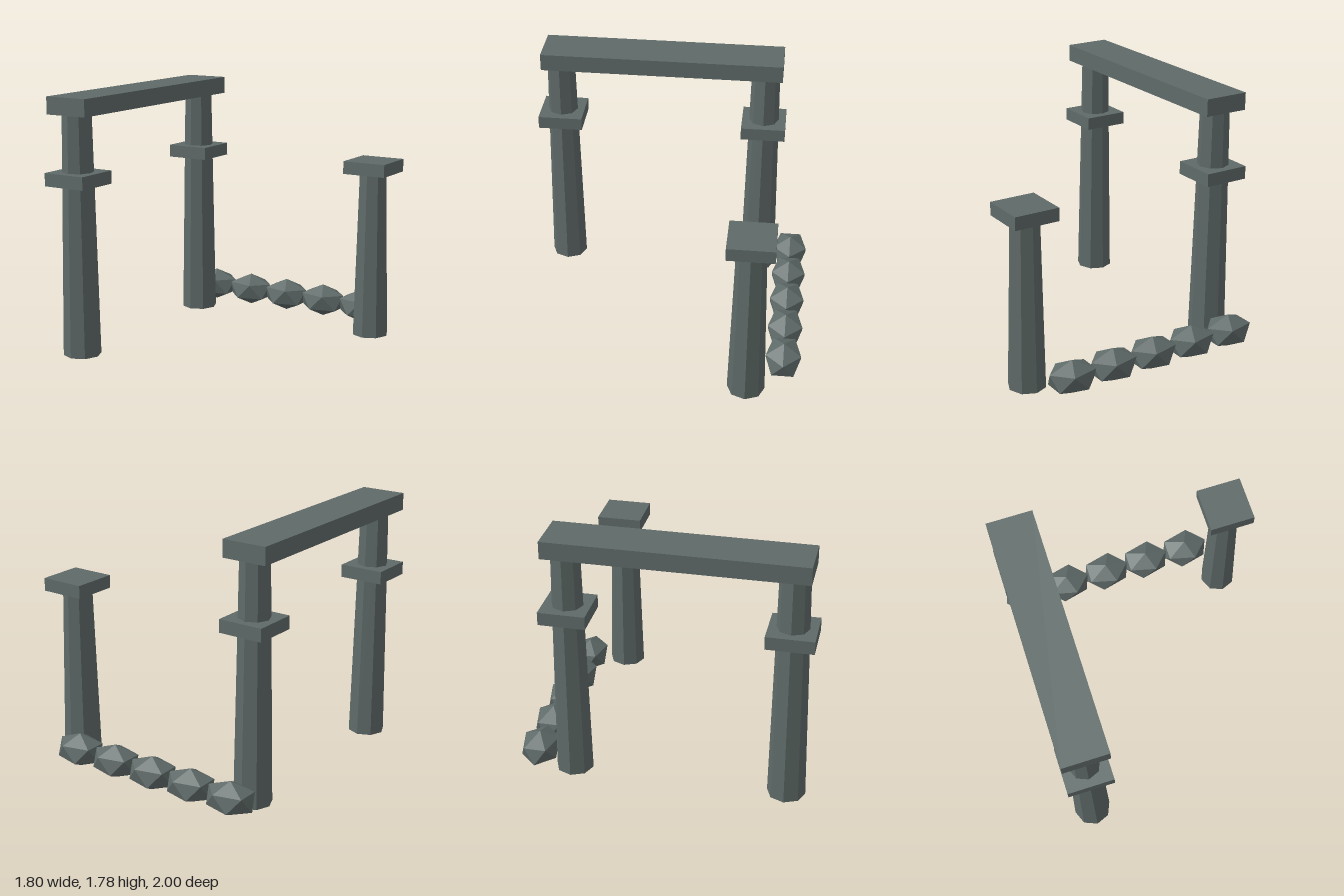
import * as THREE from 'three';

export function createModel() {
  const model = new THREE.Group();
  model.name = 'stoneRuin';
  const stone = new THREE.MeshStandardMaterial({ color: 0x5f6b69, flatShading: true });
  stone.name = 'grey stone';

  const add = (name, geometry, x, y, z) => {
    const mesh = new THREE.Mesh(geometry, stone);
    mesh.name = name;
    mesh.position.set(x, y, z);
    model.add(mesh);
  };

  const SIDE = 0.735, FRONT = 0.842, BACK = -0.632;

  // Tapered octagonal column with a square slab around or on top of it
  const column = (name, x, z, height) => {
    add(name + 'Shaft', new THREE.CylinderGeometry(0.1, 0.13, height, 8), x, height / 2, z);
    add(name + 'Slab', new THREE.BoxGeometry(0.316, 0.09, 0.316), x, 1.227, z);
  };
  column('frontColumn', -SIDE, FRONT, 1.66);
  column('backColumn', -SIDE, BACK, 1.66);
  column('shortColumn', SIDE + 0.005, BACK, 1.18);

  // Lintel across the two tall columns
  add('lintel', new THREE.BoxGeometry(0.316, 0.12, 1.715), -SIDE, 1.72, 0.103);

  // Row of stretched, faceted boulders behind the columns, each with one corner up
  const boulder = new THREE.IcosahedronGeometry(1, 0);
  boulder.rotateZ(-Math.atan(2 / (1 + Math.sqrt(5))));
  boulder.scale(0.19, 0.12, 0.144);
  for (let i = 0; i < 5; i++) add('boulder' + (i + 1), boulder, -0.729 + i * 0.318, 0.12, -0.878);

  return model;
}
